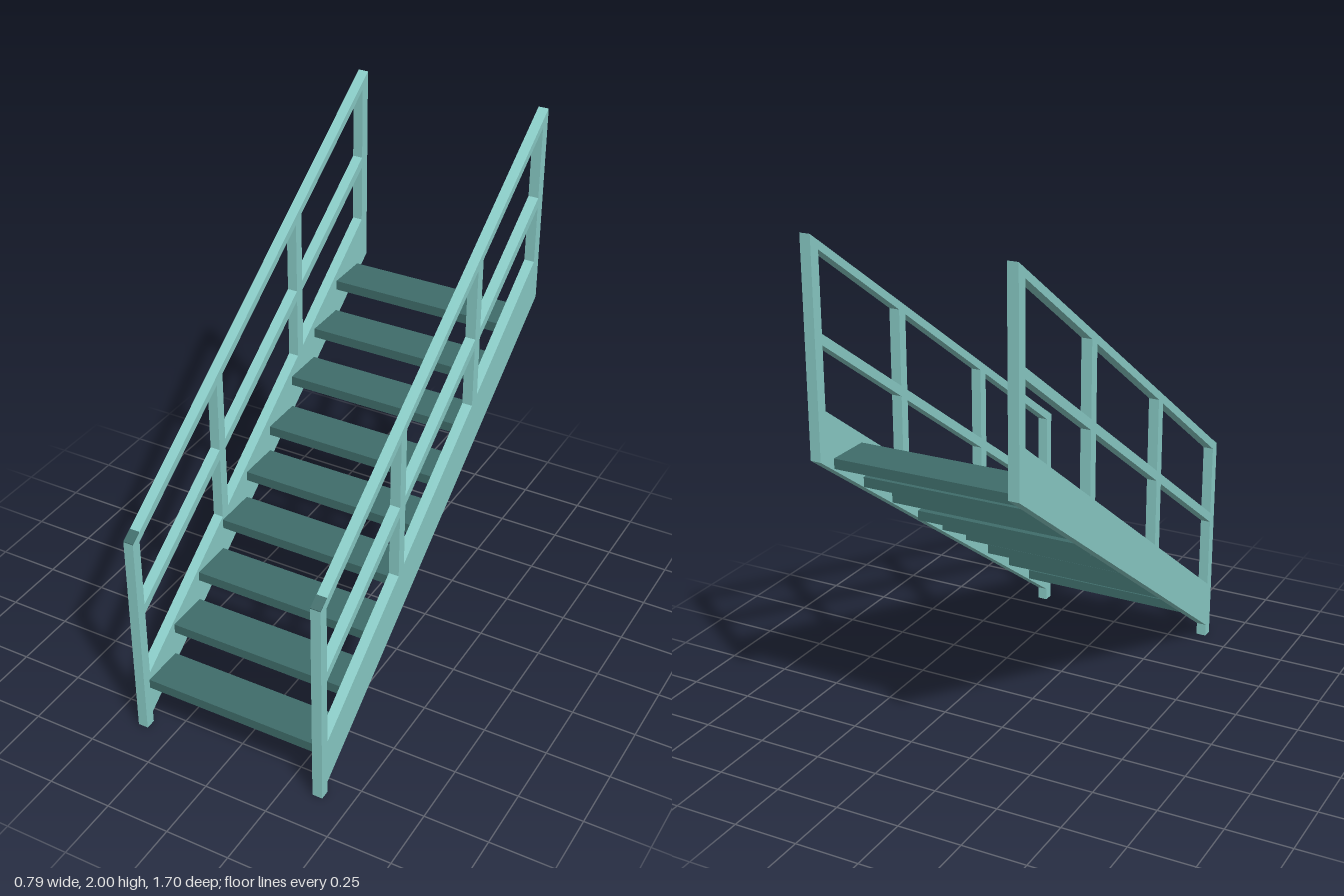
import * as THREE from 'three';

const frameMat = new THREE.MeshStandardMaterial({ color: 0x8acdc8 });
frameMat.name = 'pale teal frame';
const treadMat = new THREE.MeshStandardMaterial({ color: 0x3f6d6b });
treadMat.name = 'dark teal tread';

const WIDTH = 0.04;      // thickness of each side frame across x
const SIDE_X = 0.375;    // centre of each side frame

// Sloping lines: height as a function of z
const line = (z0, y0, z1, y1) => (z) => y0 + ((z - z0) * (y1 - y0)) / (z1 - z0);
const railTop = line(0.85, 0.85, -0.847, 2.0);
const railBottom = line(0.81, 0.84, -0.805, 1.94);
const midTop = line(0.81, 0.56, -0.805, 1.658);
const midBottom = line(0.81, 0.52, -0.805, 1.618);
const stringerTop = line(0.81, 0.24, -0.805, 1.39);
const stringerBottom = line(0.81, 0.05, -0.847, 1.22);
const ground = () => 0;

// Upright slab between two z positions, bounded by a lower and an upper line
function slab(name, zFront, zBack, lower, upper, material = frameMat) {
  const shape = new THREE.Shape([
    new THREE.Vector2(zBack, lower(zBack)),
    new THREE.Vector2(zFront, lower(zFront)),
    new THREE.Vector2(zFront, upper(zFront)),
    new THREE.Vector2(zBack, upper(zBack)),
  ]);
  const geo = new THREE.ExtrudeGeometry(shape, { depth: WIDTH, bevelEnabled: false });
  geo.translate(0, 0, -WIDTH / 2);
  geo.rotateY(-Math.PI / 2);
  const mesh = new THREE.Mesh(geo, material);
  mesh.name = name;
  return mesh;
}

function sideFrame(name, x) {
  const side = new THREE.Group();
  side.name = name;
  side.position.x = x;

  // Stringer and handrail run the full length
  side.add(slab('stringer', 0.81, -0.847, stringerBottom, stringerTop));
  side.add(slab('handrail', 0.85, -0.847, railBottom, railTop));

  // Posts
  const posts = [[0.85, 0.81], [0.285, 0.245], [-0.29, -0.33], [-0.805, -0.847]];
  posts.forEach(([front, back], i) =>
    side.add(slab(i ? 'post' : 'frontPost', front, back, i ? stringerTop : ground, railBottom)));

  // Middle rail in three lengths between the posts
  for (let i = 0; i < 3; i++) {
    side.add(slab('middleRail', posts[i][1], posts[i + 1][0], midBottom, midTop));
  }

  // Dark cap on the front end of the handrail
  side.add(slab('handrailCap', 0.85, 0.808, railTop, (z) => railTop(z) + 0.003, treadMat));
  return side;
}

export function createModel() {
  const stairs = new THREE.Group();
  stairs.name = 'staircase';
  stairs.add(sideFrame('leftSide', SIDE_X), sideFrame('rightSide', -SIDE_X));

  // Nine treads: [centre z, centre y]
  const treads = [
    [0.73, 0.19], [0.553, 0.325], [0.377, 0.45], [0.199, 0.58], [0.02, 0.692],
    [-0.155, 0.8], [-0.327, 0.935], [-0.507, 1.06], [-0.683, 1.19],
  ];
  const treadGeo = new THREE.BoxGeometry(2 * SIDE_X - WIDTH, 0.038, 0.172);
  for (const [z, y] of treads) {
    const tread = new THREE.Mesh(treadGeo, treadMat);
    tread.name = 'tread';
    tread.position.set(0, y, z);
    stairs.add(tread);
  }
  return stairs;
}
